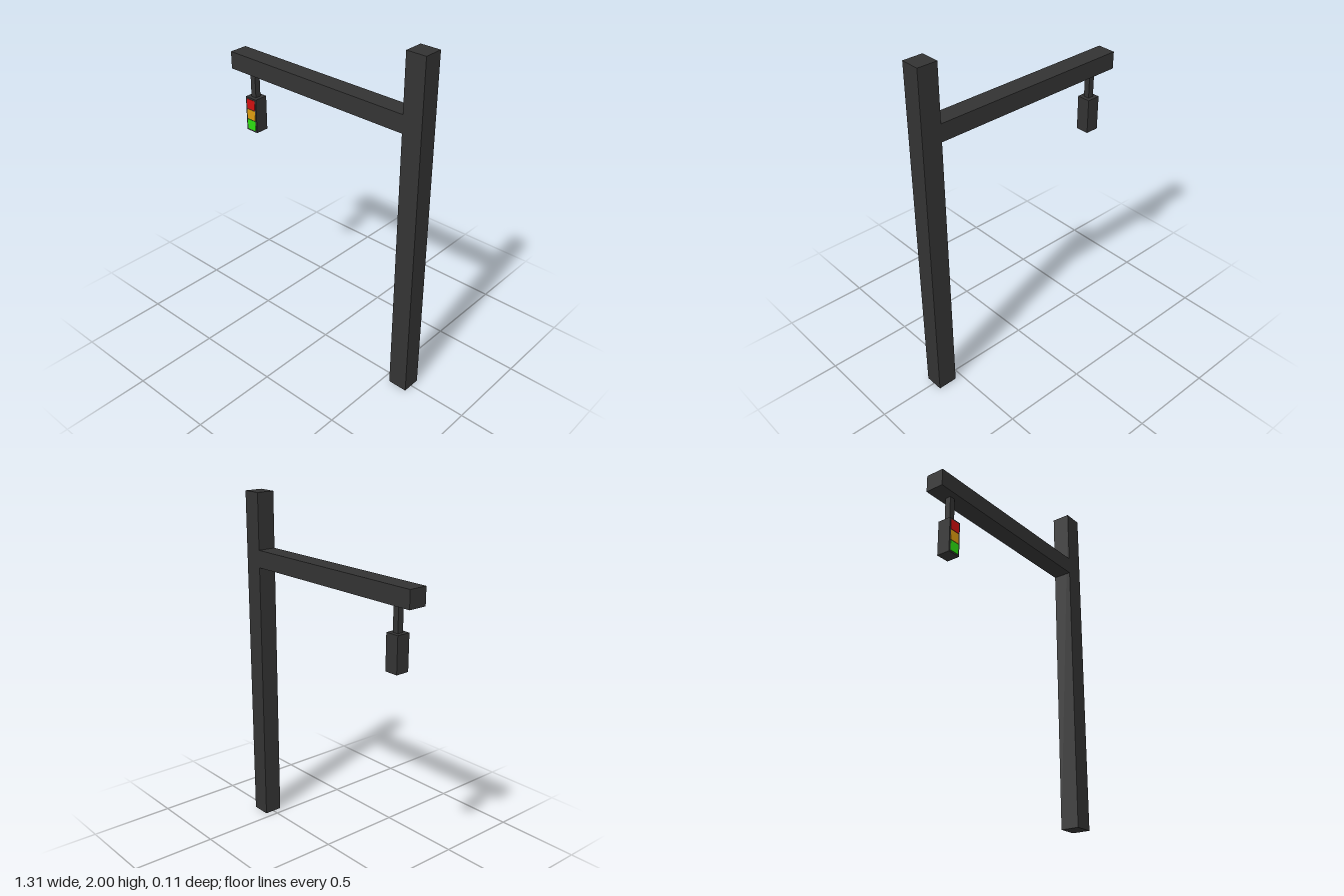
import * as THREE from 'three';

export function createModel() {
  const group = new THREE.Group();
  const dark = new THREE.MeshStandardMaterial({ color: 0x333333 });

  // Adds a box given its size and centre
  function box(name, [w, h, d], [x, y, z], material = dark) {
    const mesh = new THREE.Mesh(new THREE.BoxGeometry(w, h, d), material);
    mesh.name = name;
    mesh.position.set(x, y, z);
    group.add(mesh);
  }

  // Upright post and the arm reaching out from it
  box('post', [0.114, 2, 0.109], [0.598, 1, 0]);
  box('arm', [1.196, 0.1, 0.109], [-0.057, 1.628, 0]);

  // Hanger and signal housing near the end of the arm
  const signalX = -0.528;
  box('hanger', [0.035, 0.148, 0.035], [signalX, 1.504, 0]);
  box('signalHousing', [0.08, 0.204, 0.08], [signalX, 1.328, 0]);

  // Three square lamps, top to bottom, on the front of the housing
  const lamps = [['redLamp', 0xd01010], ['amberLamp', 0xdd9c10], ['greenLamp', 0x2cdd10]];
  lamps.forEach(([name, color], i) => {
    const material = new THREE.MeshStandardMaterial({ color });
    box(name, [0.06, 0.059, 0.004], [signalX, 1.391 - i * 0.063, 0.04], material);
  });

  return group;
}
